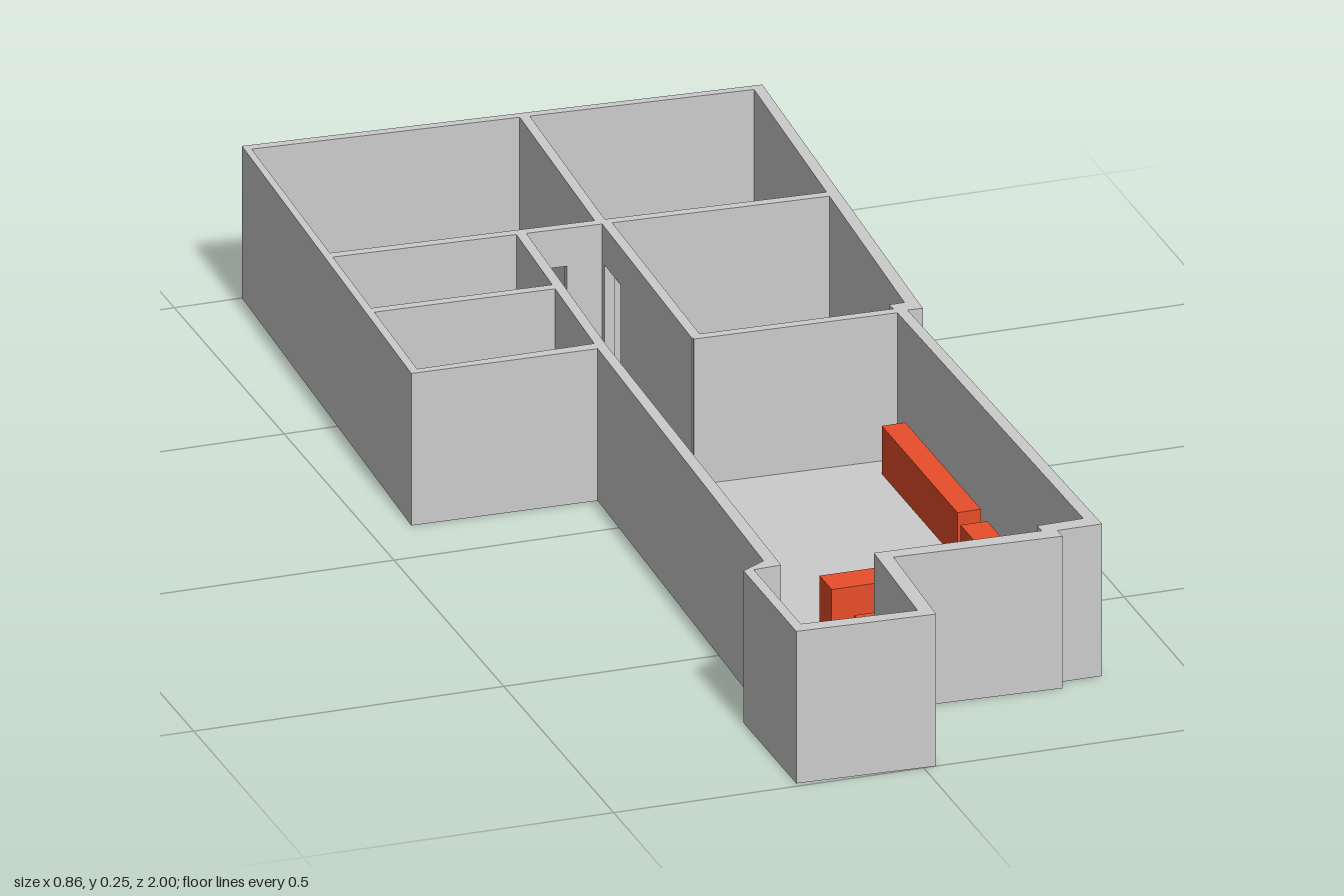
import * as THREE from 'three';

const FLOOR = 0.01, TOP = 0.253, DOOR = 0.19, LOW = 0.08;
const grey = new THREE.MeshStandardMaterial({ color: 0xcccccc });
const red = new THREE.MeshStandardMaterial({ color: 0xe84e2a });
const blue = new THREE.MeshStandardMaterial({ color: 0x2a80b5 });

// Plan outlines are [x, z] corners, clockwise from above
const OUTER = [[-0.391, -1], [0.431, -0.952], [0.382, -0.083], [0.358, -0.085], [0.37, 0.767],
  [0.298, 0.767], [0.298, 0.79], [0.03, 0.778], [0.02, 1], [-0.202, 0.99], [-0.202, 0.75],
  [-0.161, 0.725], [-0.134, -0.106], [-0.432, -0.113]];
const INNER = [[-0.381, -0.984], [0.413, -0.939], [0.363, -0.113], [0.338, -0.113], [0.34, -0.087],
  [0.35, 0.738], [0.275, 0.74], [0.275, 0.76], [0.007, 0.753], [-0.002, 0.977], [-0.186, 0.966],
  [-0.186, 0.751], [-0.141, 0.749], [-0.117, -0.126], [-0.418, -0.126]];

const toPoints = (plan) => plan.map(([x, z]) => new THREE.Vector2(x, -z));

// Extrudes a plan outline upward from y0 to y1; a hole runs the opposite way round
function prism(name, plan, y0, y1, material, hole) {
  const shape = new THREE.Shape(toPoints(plan));
  if (hole) shape.holes.push(new THREE.Path(toPoints(hole).reverse()));
  const geometry = new THREE.ExtrudeGeometry(shape, { depth: y1 - y0, bevelEnabled: false });
  geometry.rotateX(-Math.PI / 2).translate(0, y0, 0);
  const mesh = new THREE.Mesh(geometry, material);
  mesh.name = name;
  return mesh;
}

// Straight wall from a to b; doors are [start, end] distances along it
function partition(name, a, b, doors = [], thickness = 0.016) {
  const dx = b[0] - a[0], dz = b[1] - a[1], length = Math.hypot(dx, dz);
  const shape = new THREE.Shape();
  shape.moveTo(0, FLOOR);
  for (const [s, e] of doors) {
    shape.lineTo(s, FLOOR);
    shape.lineTo(s, DOOR);
    shape.lineTo(e, DOOR);
    shape.lineTo(e, FLOOR);
  }
  shape.lineTo(length, FLOOR);
  shape.lineTo(length, TOP);
  shape.lineTo(0, TOP);
  const geometry = new THREE.ExtrudeGeometry(shape, { depth: thickness, bevelEnabled: false });
  geometry.translate(0, 0, -thickness / 2);
  const mesh = new THREE.Mesh(geometry, grey);
  mesh.name = name;
  mesh.position.set(a[0], 0, a[1]);
  mesh.rotation.y = Math.atan2(-dz, dx);
  return mesh;
}

const rect = (x0, x1, z0, z1) => [[x0, z0], [x1, z0], [x1, z1], [x0, z1]];

export function createModel() {
  const model = new THREE.Group();
  model.name = 'apartment';

  // Floor slab and outer walls
  model.add(prism('floor', OUTER, 0, FLOOR, grey));
  model.add(prism('outerWalls', OUTER, FLOOR, TOP, grey, INNER));

  // Inner walls with doorways
  const walls = new THREE.Group();
  walls.name = 'innerWalls';
  walls.add(
    partition('crossWall', [-0.404, -0.571], [0.392, -0.533], [[0.32, 0.377]]),
    partition('bedroomDivider', [0.051, -0.965], [0.029, -0.551], [[0.275, 0.36]]),
    partition('hallRightWall', [0.036, -0.55], [0.022, -0.095], [[0.02, 0.1]]),
    partition('livingRoomWall', [0.016, -0.099], [0.348, -0.088]),
    partition('bathroomDivider', [-0.415, -0.356], [-0.113, -0.346]),
    partition('hallLeftWall', [-0.125, -0.118], [-0.1, -0.553], [[0.035, 0.11], [0.25, 0.32]]),
  );
  model.add(walls);

  // Low furniture blocks
  const furniture = new THREE.Group();
  furniture.name = 'furniture';
  const blocks = {
    leftBed: [[-0.344, -0.896], [-0.243, -0.894], [-0.247, -0.732], [-0.348, -0.737]],
    middleBed: [[-0.074, -0.885], [0.025, -0.881], [0.02, -0.722], [-0.079, -0.73]],
    rightBedroomTable: [[0.17, -0.874], [0.265, -0.87], [0.262, -0.794], [0.166, -0.8]],
    rightBed: [[0.198, -0.424], [0.29, -0.414], [0.276, -0.234], [0.186, -0.244]],
    longCounter: [[-0.4, -0.561], [-0.127, -0.542], [-0.131, -0.496], [-0.401, -0.519]],
    cornerUnit: [[-0.402, -0.428], [-0.339, -0.424], [-0.343, -0.357], [-0.407, -0.36]],
    sideboard: rect(0.299, 0.337, -0.035, 0.309),
    cornerSofa: [[0.288, 0.354], [0.331, 0.354], [0.331, 0.512], [0.225, 0.512], [0.225, 0.468], [0.288, 0.468]],
    livingTable: rect(0.023, 0.18, 0.461, 0.516),
    frontLeftBench: rect(0.023, 0.136, 0.618, 0.658),
    frontRightBench: rect(0.215, 0.326, 0.618, 0.658),
  };
  for (const [name, plan] of Object.entries(blocks)) {
    furniture.add(prism(name, plan, FLOOR, FLOOR + LOW, red));
  }
  model.add(furniture);

  // Entrance door on the vestibule wall
  model.add(prism('entranceDoor', rect(-0.187, -0.175, 0.84, 0.905), FLOOR, 0.2, blue));
  return model;
}
